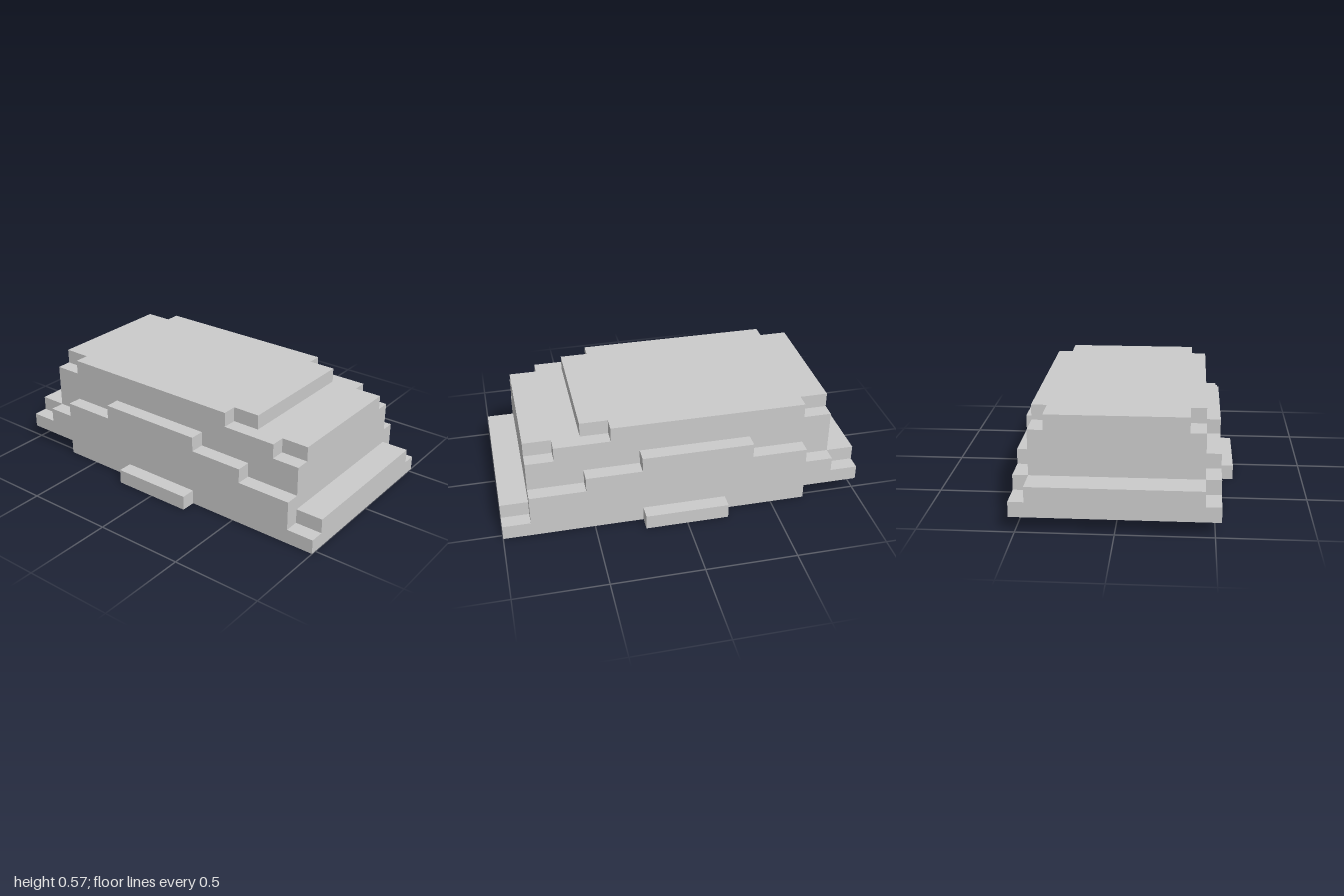
import * as THREE from 'three';

// Cell sizes of the blocky grid: U across and up, L along the length
const U = 0.0815;
const L = 2 / 13;

const material = new THREE.MeshStandardMaterial({ color: 0xcccccc, flatShading: true });

// Stepped tail outline shared by the inner slices, as [z, y] in cells
const tail = [[-5.5, 3], [-6.5, 3], [-6.5, 1], [-4.5, 1], [-4.5, 0]];

const coreProfile = [
  [6.5, 0], [6.5, 2], [5.5, 2], [5.5, 6], [3.5, 6], [3.5, 7], [-5.5, 7], ...tail,
];
const shoulderProfile = [
  [6.5, 0], [6.5, 2], [5.5, 2], [5.5, 5], [4.5, 5], [4.5, 6], [2.5, 6], [2.5, 7],
  [-4.5, 7], [-4.5, 6], [-5.5, 6], ...tail,
];
const sideProfile = [
  [6.5, 0], [6.5, 1], [5.5, 1], [5.5, 3], [3.5, 3], [3.5, 4], [1.5, 4], [1.5, 5],
  [-2.5, 5], [-2.5, 4], [-4.5, 4], [-4.5, 3], [-5.5, 3], [-5.5, 2], [-6.5, 2],
  [-6.5, 1], [-4.5, 1], [-4.5, 0],
];
const skirtProfile = [[1.5, 0], [1.5, 1], [-1.5, 1], [-1.5, 0]];

// Extrude a side profile across x, from x0 to x1 in cells
function slice(name, profile, x0, x1) {
  const shape = new THREE.Shape(profile.map(([z, y]) => new THREE.Vector2(z * L, y * U)));
  const geometry = new THREE.ExtrudeGeometry(shape, { depth: (x1 - x0) * U, bevelEnabled: false });
  geometry.rotateY(-Math.PI / 2).translate(x1 * U, 0, 0);
  const mesh = new THREE.Mesh(geometry, material);
  mesh.name = name;
  return mesh;
}

export function createModel() {
  const group = new THREE.Group();
  group.name = 'steppedBody';

  // Central body
  group.add(slice('core', coreProfile, -4.5, 4.5));

  // Mirrored layers stepping outward on each side
  const layers = [
    ['Shoulder', shoulderProfile, 4.5],
    ['SidePanel', sideProfile, 5.5],
    ['Skirt', skirtProfile, 6.5],
  ];
  for (const [name, profile, x] of layers) {
    group.add(slice('left' + name, profile, x, x + 1));
    group.add(slice('right' + name, profile, -x - 1, -x));
  }
  return group;
}
